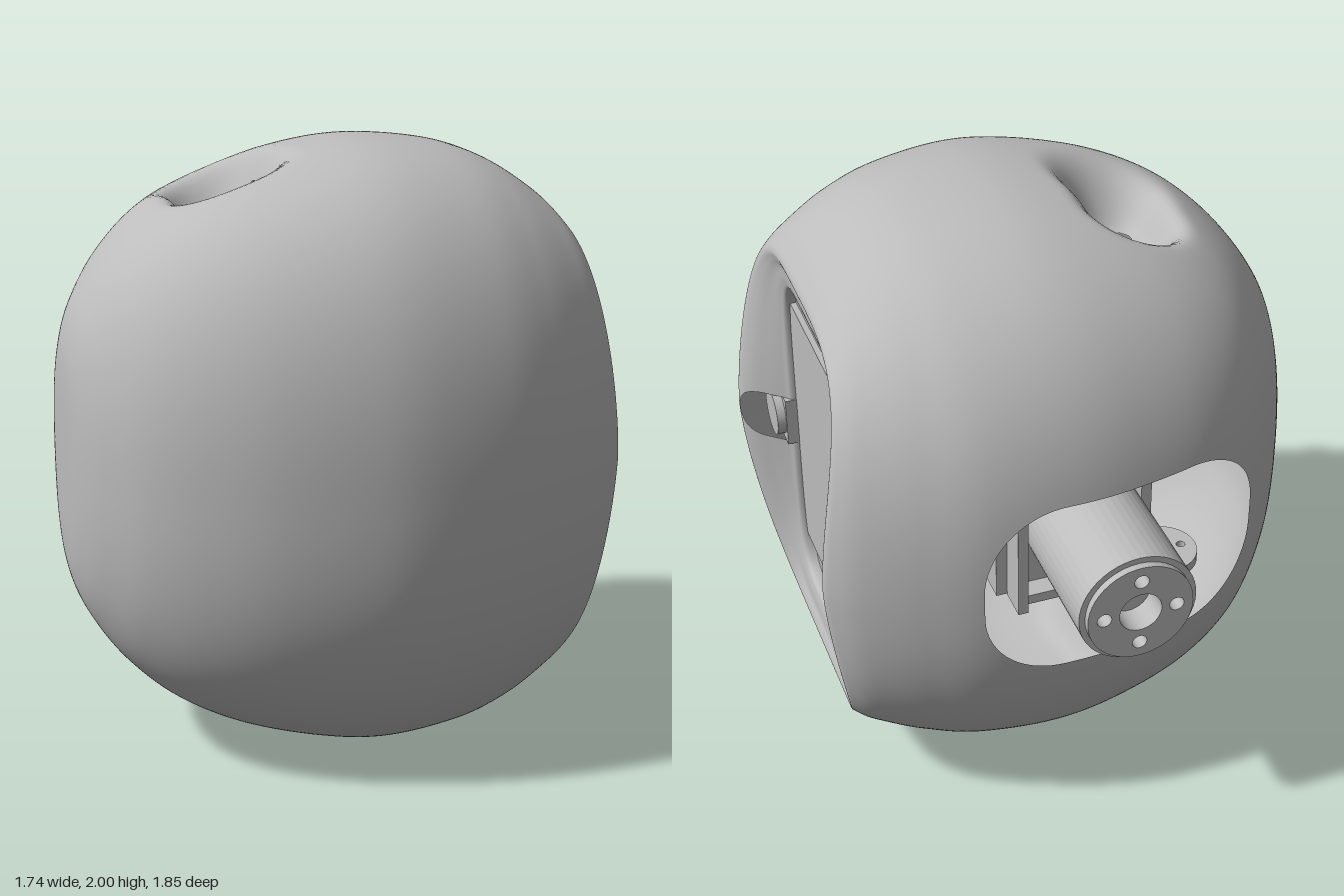
import * as THREE from 'three';

const material = new THREE.MeshStandardMaterial({ color: 0xbcbcbc, side: THREE.DoubleSide });
material.name = 'matte grey';

const clamp = THREE.MathUtils.clamp, smooth = THREE.MathUtils.smoothstep;
const CZ = 0.15; // ring centre in z

// Shell rings along x: x, half height, front z, back z, squareness, bend of top and bottom
const RINGS = [
  [-0.874, 0, 0.15, 0.15, 2.4, 0],
  [-0.870, 0.27, 0.29, 0.0, 2.4, 0],
  [-0.85, 0.41, 0.39, -0.10, 2.4, 0],
  [-0.80, 0.53, 0.50, -0.24, 2.4, 0],
  [-0.70, 0.67, 0.635, -0.41, 2.45, 0],
  [-0.55, 0.80, 0.75, -0.57, 2.5, 0],
  [-0.35, 0.90, 0.845, -0.68, 2.5, 0],
  [-0.10, 0.97, 0.905, -0.74, 2.5, 0],
  [0.12, 1.0, 0.92, -0.76, 2.45, 0],
  [0.40, 0.98, 0.88, -0.745, 2.4, 0.04],
  [0.60, 0.93, 0.805, -0.685, 2.45, 0.08],
  [0.77, 0.84, 0.70, -0.605, 2.75, 0.11],
  [0.85, 0.765, 0.63, -0.54, 3.3, 0.12],
  [0.87, 0.73, 0.58, -0.50, 3.8, 0.12],
  [0.845, 0.705, 0.53, -0.45, 4.1, 0.10],
  [0.79, 0.68, 0.48, -0.41, 4.4, 0.055],
  [0.74, 0.635, 0.44, -0.37, 4.7, 0.01],
  [0.715, 0.605, 0.42, -0.35, 5, 0],
  [0.66, 0.605, 0.42, -0.35, 5, 0],
];

// Signed distance to a rounded rectangle
function roundRect(u, v, hu, hv, r) {
  const a = Math.abs(u) - hu + r, b = Math.abs(v) - hv + r;
  return Math.hypot(Math.max(a, 0), Math.max(b, 0)) + Math.min(Math.max(a, b), 0) - r;
}

// Negative inside any opening of the shell
function openings(p) {
  const Y = Math.abs(p.y - 1);
  let d = 1;
  if (p.z < -0.2) d = Math.min(d, roundRect(p.x + 0.065, p.y - 1, 0.485, 0.315, 0.27));
  if (p.x > 0.55) d = Math.min(d, roundRect(p.z - 0.44, p.y - 1, 0.135, 0.09, 0.085));
  if (Y > 0.55 && p.x < -0.05) {
    for (const z of [-0.05, 0.09]) d = Math.min(d, Math.hypot(p.x + 0.335, p.z - z) - 0.048);
    if (p.x > -0.26) d = Math.min(d, Math.hypot(p.z - 0.03, Y - 0.80) - 0.055);
  }
  return d;
}

function shellGeometry(N = 200, S = 240) {
  const curveA = new THREE.CatmullRomCurve3(RINGS.map(r => new THREE.Vector3(r[0], r[1], r[2])), false, 'catmullrom', 0.5);
  const curveB = new THREE.CatmullRomCurve3(RINGS.map(r => new THREE.Vector3(r[3], r[4], r[5])), false, 'catmullrom', 0.5);
  const pos = [], idx = [];
  for (let i = 0; i <= N; i++) {
    const a = curveA.getPoint(i / N), b = curveB.getPoint(i / N);
    for (let j = 0; j < S; j++) {
      const c = Math.cos(j / S * 2 * Math.PI), s = Math.sin(j / S * 2 * Math.PI), n = b.y;
      const r = Math.pow(Math.abs(c) ** n + Math.abs(s) ** n, -1 / n);
      const x = a.x - b.z * Math.abs(r * s) ** 1.5;
      const z = CZ + r * c * (c > 0 ? a.z - CZ : CZ - b.x);
      let y = a.y * r * s;
      // Dimples on the top and bottom, softer towards the front
      if (Math.abs(y) > 0.5) {
        const width = 0.17 + 0.1 * smooth(z, 0.0, 0.35);
        const w = (1 - smooth(roundRect(x + 0.33, z - 0.02, 0.06, 0.12, 0.055), -0.01, width)) ** 1.7;
        y = THREE.MathUtils.lerp(y, Math.sign(y) * 0.69, w);
      }
      pos.push(x, y + 1, z);
    }
  }
  for (let i = 0; i < N; i++) for (let j = 0; j < S; j++) {
    const k = (j + 1) % S, a = i * S + j, b = a + S, c = i * S + k, d = c + S;
    idx.push(a, b, c, b, d, c);
  }
  const grid = new THREE.BufferGeometry();
  grid.setAttribute('position', new THREE.Float32BufferAttribute(pos, 3));
  grid.setIndex(idx);
  grid.computeVertexNormals();

  // Cut the openings by clipping every triangle
  const verts = [];
  for (let v = 0; v < pos.length / 3; v++) {
    const p = new THREE.Vector3().fromBufferAttribute(grid.attributes.position, v);
    verts.push({ p, n: new THREE.Vector3().fromBufferAttribute(grid.attributes.normal, v), d: openings(p) });
  }
  const P = [], Q = [];
  const emit = v => { P.push(...v.p.toArray()); Q.push(...v.n.toArray()); };
  for (let t = 0; t < idx.length; t += 3) {
    const tri = [verts[idx[t]], verts[idx[t + 1]], verts[idx[t + 2]]], poly = [];
    tri.forEach((v, k) => {
      const w = tri[(k + 1) % 3];
      if (v.d >= 0) poly.push(v);
      if ((v.d >= 0) !== (w.d >= 0)) {
        const f = clamp(v.d / (v.d - w.d), 0, 1);
        poly.push({ p: v.p.clone().lerp(w.p, f), n: v.n.clone().lerp(w.n, f).normalize() });
      }
    });
    for (let k = 1; k + 1 < poly.length; k++) [poly[0], poly[k], poly[k + 1]].forEach(emit);
  }
  const g = new THREE.BufferGeometry();
  g.setAttribute('position', new THREE.Float32BufferAttribute(P, 3));
  g.setAttribute('normal', new THREE.Float32BufferAttribute(Q, 3));
  return g;
}

// Disc with round holes [x, y, radius], extruded along z
function disc(radius, holes, depth) {
  const shape = new THREE.Shape().absarc(0, 0, radius, 0, Math.PI * 2);
  for (const [x, y, r] of holes) shape.holes.push(new THREE.Path().absarc(x, y, r, 0, Math.PI * 2, true));
  return new THREE.ExtrudeGeometry(shape, { depth, bevelEnabled: false, curveSegments: 24 });
}

export function createModel() {
  const model = new THREE.Group();
  const add = (name, geometry, x = 0, y = 0, z = 0) => {
    const mesh = new THREE.Mesh(geometry, material);
    mesh.name = name;
    mesh.position.set(x, y, z);
    model.add(mesh);
    return mesh;
  };
  const box = (name, w, h, d, x, y, z) => add(name, new THREE.BoxGeometry(w, h, d), x, y, z);

  add('shell', shellGeometry());

  // Screen and its frame behind the face opening
  box('screen', 0.02, 0.97, 0.79, 0.695, 1.005, 0.035);
  box('screenFrame', 0.02, 1.23, 0.79, 0.675, 1, 0.035);
  box('cameraTab', 0.04, 0.18, 0.09, 0.725, 1, 0.46);
  const lens = add('cameraLens', new THREE.CylinderGeometry(0.083, 0.083, 0.04, 24), 0.755, 1, 0.503);
  lens.rotation.z = Math.PI / 2;

  // Neck shaft with a drilled end
  const bolts = [0, 1, 2, 3].map(k => [0.12 * Math.cos(k * Math.PI / 2), 0.12 * Math.sin(k * Math.PI / 2), 0.024]);
  add('shaftEnd', disc(0.175, [[0, 0, 0.07], ...bolts], 0.1), -0.022, 1, -0.927);
  add('shaftSleeve', disc(0.195, [[0, 0, 0.17]], 0.5), -0.022, 1, -0.903);
  const core = add('shaftCore', new THREE.CylinderGeometry(0.172, 0.172, 0.4, 40), -0.022, 1, -0.63);
  core.rotation.x = Math.PI / 2;
  box('motorBlock', 0.40, 0.52, 0.42, 0.07, 1, -0.2);

  // Bracket beside the shaft, with a drilled tab above and below
  box('bracketPlate', 0.035, 0.53, 0.24, -0.205, 1, -0.4);
  box('bracketPlate', 0.035, 0.53, 0.24, 0.215, 1, -0.4);
  for (const side of [-1, 1]) {
    const tab = new THREE.Shape();
    tab.moveTo(0.12, -0.12);
    tab.lineTo(0.12, 0.12);
    tab.lineTo(0, 0.12);
    tab.absarc(0, 0, 0.12, Math.PI / 2, Math.PI * 1.5);
    for (const [x, y, r] of [[0, 0, 0.035], [-0.07, 0, 0.015], [0, 0.07, 0.015], [0, -0.07, 0.015]])
      tab.holes.push(new THREE.Path().absarc(x, y, r, 0, Math.PI * 2, true));
    const geometry = new THREE.ExtrudeGeometry(tab, { depth: 0.035, bevelEnabled: false });
    add('bracketTab', geometry, -0.32, 1 + side * 0.247 + 0.0175, -0.4).rotation.x = Math.PI / 2;
    box('bracketBridge', 0.44, 0.035, 0.2, 0.005, 1 + side * 0.247, -0.38);

    // Screw bosses in the dimples
    for (const z of [-0.05, 0.09]) {
      const boss = add('screwBoss', disc(0.045, [[0, 0, 0.025]], 0.09), -0.335, 1 + side * 0.675, z);
      boss.rotation.x = side * Math.PI / 2;
    }
  }
  return model;
}
